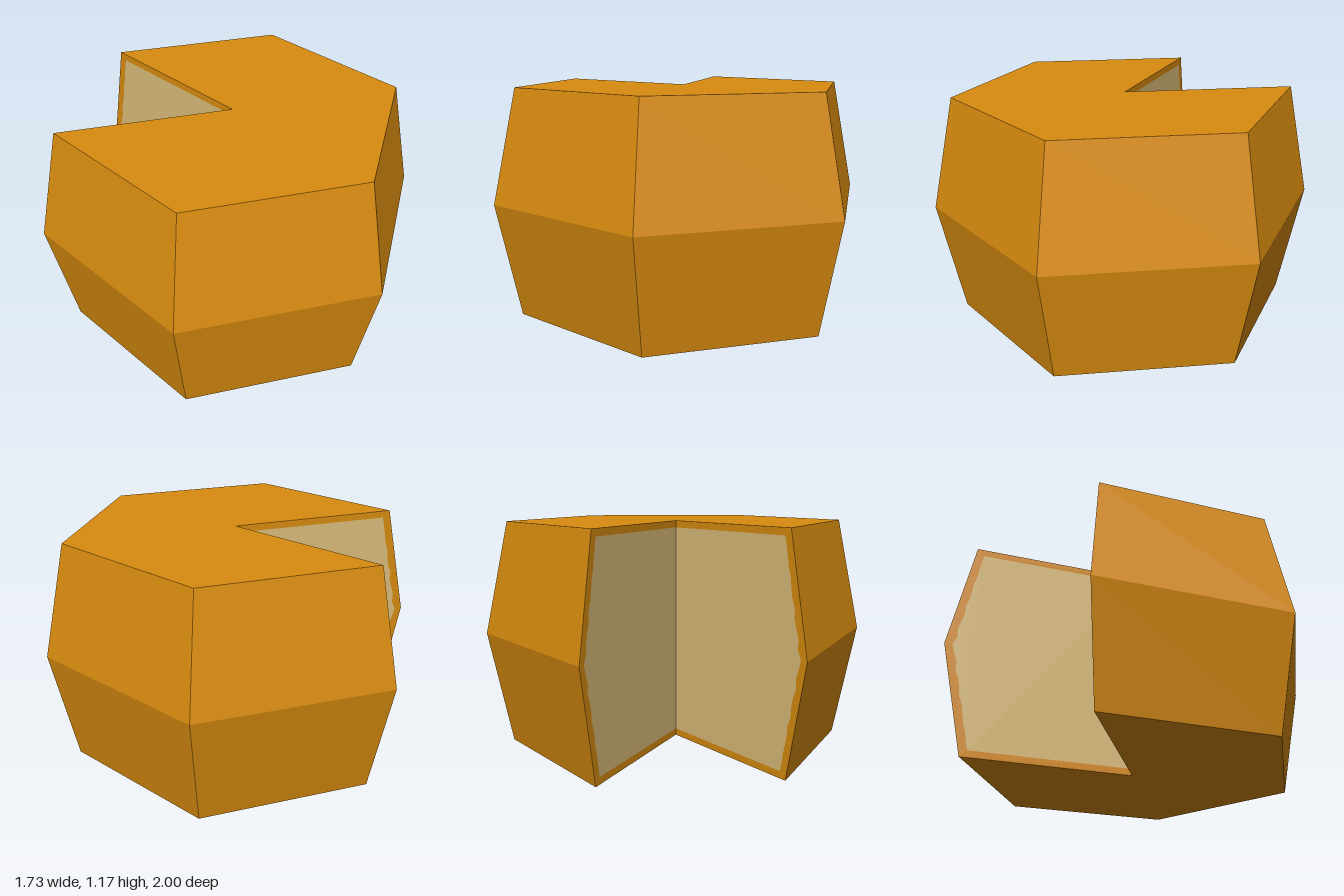
import * as THREE from 'three';

const HEIGHT = 1.17, MID = HEIGHT / 2, R_END = 0.877, R_MID = 1;

// Radius of the faceted outside at height y
const radiusAt = (y) => R_MID - (R_MID - R_END) * Math.abs(y - MID) / MID;

export function createModel() {
  const rind = new THREE.MeshStandardMaterial({ color: 0xd98c0f });
  rind.name = 'orange rind';
  const cream = new THREE.MeshStandardMaterial({ color: 0xdcbd7b });
  cream.name = 'cream inside';

  const group = new THREE.Group();
  group.name = 'cutWheel';
  const add = (geometry, material, name) => {
    const mesh = new THREE.Mesh(geometry, material);
    mesh.name = name;
    group.add(mesh);
    return mesh;
  };

  // Six-sided wheel with one sixth left open at the back
  const profile = [[0, 0], [R_END, 0], [R_MID, MID], [R_END, HEIGHT], [0, HEIGHT]]
    .map(([r, y]) => new THREE.Vector2(r, y));
  const shell = new THREE.LatheGeometry(profile, 5, -Math.PI * 2 / 3, Math.PI * 5 / 3).toNonIndexed();
  shell.computeVertexNormals();
  add(shell, rind, 'outerRind');

  // Slightly ragged outline of the inside on a cut face, from bottom to top
  const edge = 0.036, steps = 24;
  const inner = [[0, edge]];
  for (let i = 0; i <= steps; i++) {
    const y = edge + (HEIGHT - 2 * edge) * i / steps;
    const wobble = 0.007 * Math.sin(i * 2.3) * Math.sin(Math.PI * i / steps);
    inner.push([radiusAt(y) - 0.045 + wobble, y]);
  }
  inner.push([0, HEIGHT - edge]);
  const outer = profile.map((p) => [p.x, p.y]);

  // Flat cut face: cream middle framed by a thin band of rind
  const cutFace = (points, sign, angle) => {
    const shape = new THREE.Shape(points.map(([r, y]) => new THREE.Vector2(sign * r, y)));
    return new THREE.ShapeGeometry(shape).rotateY(angle);
  };
  for (const [side, sign, angle] of [['right', 1, Math.PI * 5 / 6], ['left', -1, -Math.PI / 2]]) {
    add(cutFace(inner, sign, angle), cream, side + 'CutInside');
    add(cutFace([...outer, ...[...inner].reverse()], sign, angle), rind, side + 'CutRind');
  }
  return group;
}
